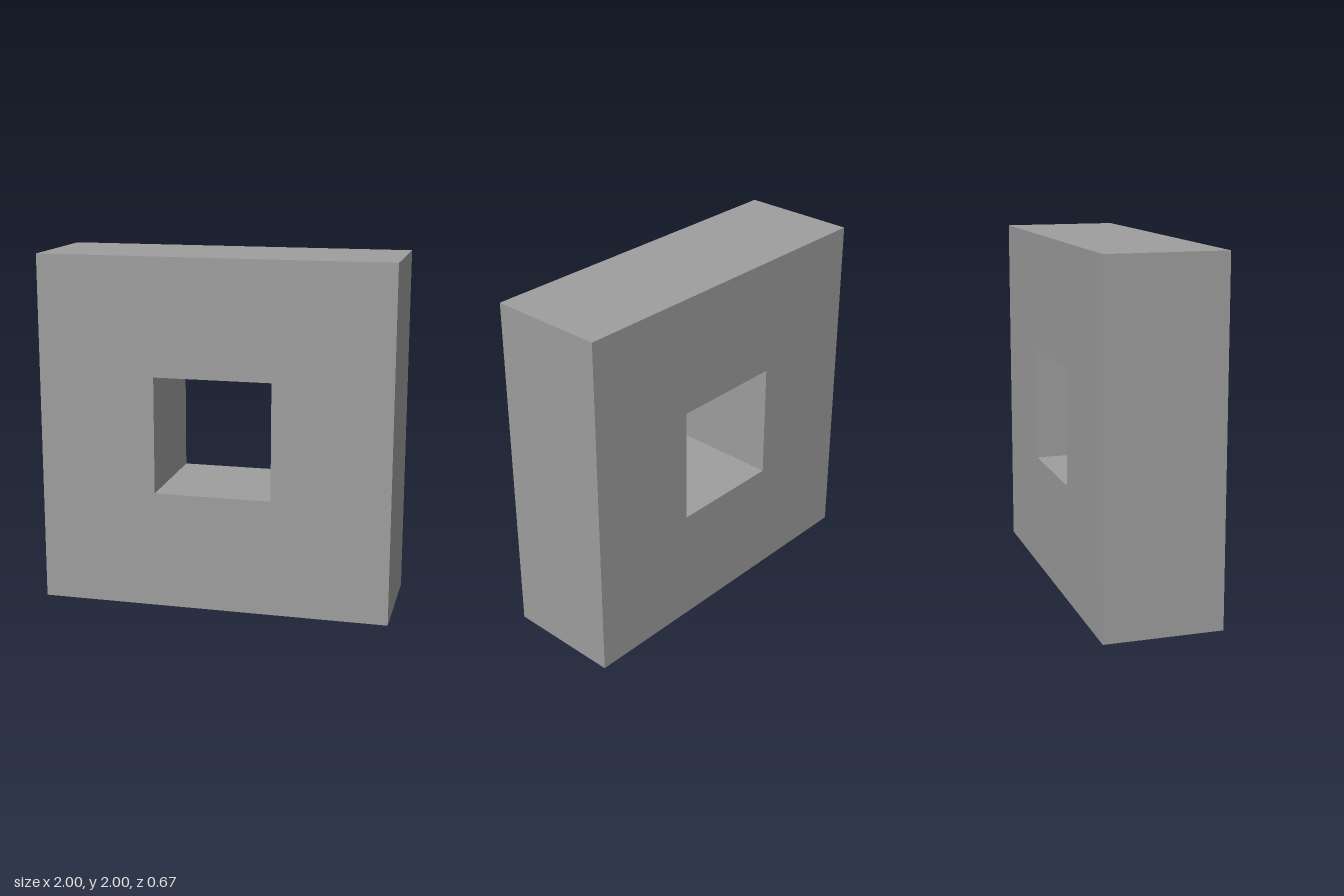
import * as THREE from 'three';

const SIZE = 2;
const THIRD = SIZE / 3; // side of the hole and thickness of the block

// Corners of a square centred on the origin
function squarePoints(side) {
  const h = side / 2;
  return [[-h, -h], [h, -h], [h, h], [-h, h]].map(([x, y]) => new THREE.Vector2(x, y));
}

export function createModel() {
  const group = new THREE.Group();
  group.name = 'squareRing';

  // Square block with a square hole running front to back
  const outline = new THREE.Shape(squarePoints(SIZE));
  outline.holes.push(new THREE.Path(squarePoints(THIRD).reverse()));
  const geometry = new THREE.ExtrudeGeometry(outline, { depth: THIRD, bevelEnabled: false });
  geometry.translate(0, SIZE / 2, -THIRD / 2);

  const material = new THREE.MeshStandardMaterial({ color: 0x9e9e9e, flatShading: true });
  const block = new THREE.Mesh(geometry, material);
  block.name = 'blockWithSquareHole';
  group.add(block);

  return group;
}
